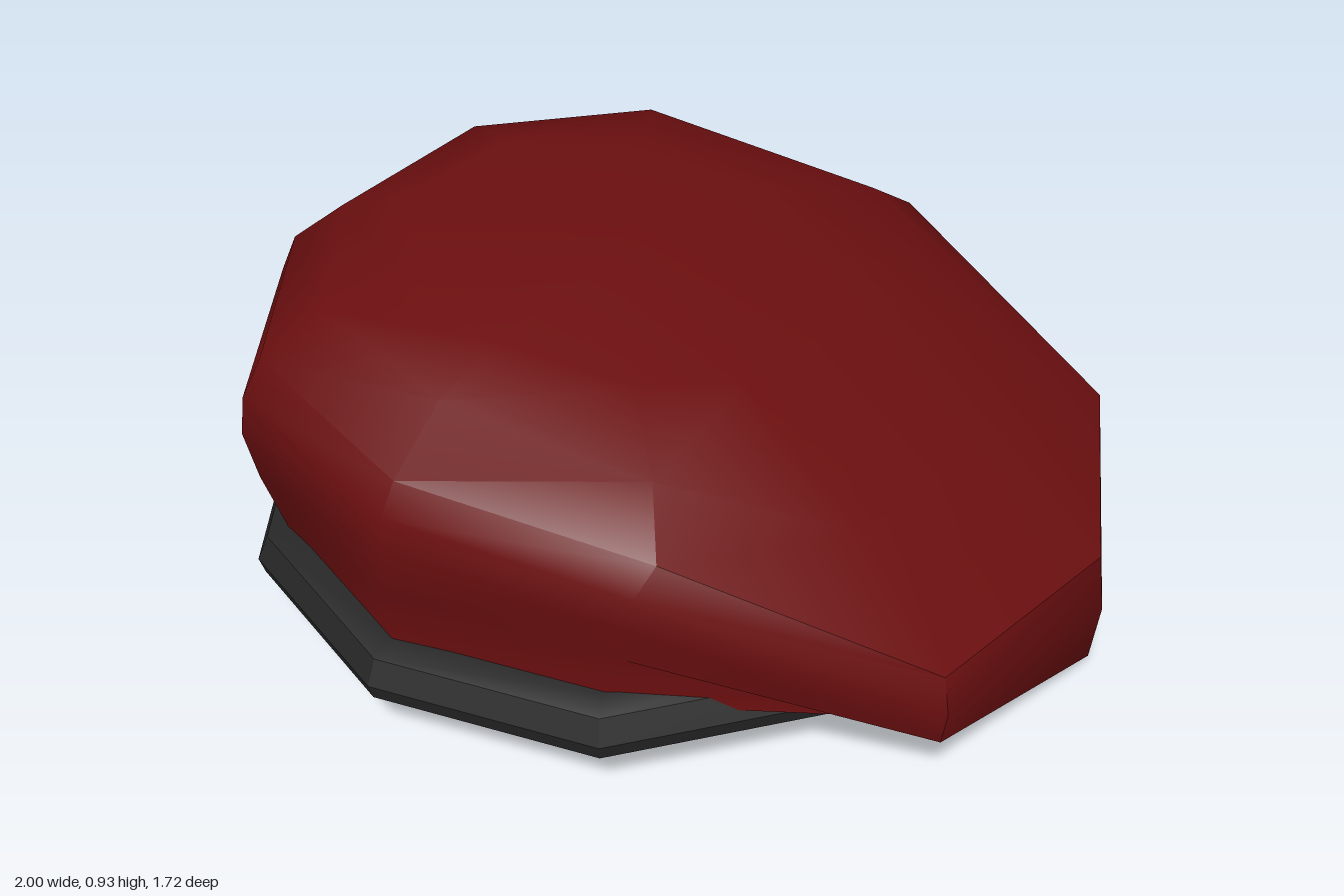
import * as THREE from 'three';
import { toCreasedNormals } from 'three/addons/utils/BufferGeometryUtils.js';

const mat = (name, color) => {
  const m = new THREE.MeshStandardMaterial({ color });
  m.name = name;
  return m;
};

// Skin a stack of rings (bottom to top); single-point rings close the ends
function loft(rings, crease) {
  const n = 10, pos = [];
  const at = (k, i) => rings[k][i % rings[k].length];
  for (let k = 0; k < rings.length - 1; k++) {
    for (let i = 0; i < n; i++) {
      const a = at(k, i), b = at(k, i + 1), c = at(k + 1, i + 1), d = at(k + 1, i);
      if (a !== b) pos.push(...b, ...a, ...d);
      if (c !== d) pos.push(...b, ...d, ...c);
    }
  }
  const g = new THREE.BufferGeometry();
  g.setAttribute('position', new THREE.Float32BufferAttribute(pos, 3));
  return toCreasedNormals(g, crease);
}

// Ten-sided head opening, [x, z], starting at the right side and going round the back
const CX = -0.145, CZ = 0.018;
const opening = [
  [-1, -0.07], [-0.78, -0.56], [-0.33, -0.82], [0.2, -0.76], [0.59, -0.42],
  [0.71, 0.11], [0.49, 0.6], [0.04, 0.86], [-0.49, 0.8], [-0.88, 0.46],
];
const openingRing = (s, y) => opening.map(([x, z]) => [CX + (x - CX) * s, y, CZ + (z - CZ) * s]);

// Crown rings, each following the same ten columns as the opening
const underside = [
  [-0.965, 0.43, -0.06], [-0.76, 0.43, -0.53], [-0.28, 0.38, -0.78], [0.33, 0.35, -0.77], [0.78, 0.1, -0.4],
  [0.85, 0, 0.12], [0.66, 0.2, 0.6], [0.05, 0.38, 0.77], [-0.46, 0.42, 0.74], [-0.86, 0.43, 0.44],
];
const rimLow = [
  [-0.985, 0.56, -0.05], [-0.78, 0.56, -0.53], [-0.22, 0.5, -0.81], [0.37, 0.43, -0.86], [0.88, 0.09, -0.41],
  [0.98, 0.03, 0.12], [0.72, 0.19, 0.65], [0.07, 0.54, 0.85], [-0.45, 0.56, 0.76], [-0.88, 0.56, 0.46],
];
const rimHigh = [
  [-0.94, 0.75, -0.05], [-0.74, 0.75, -0.5], [-0.22, 0.71, -0.79], [0.37, 0.58, -0.83], [0.91, 0.35, -0.45],
  [0.98, 0.32, 0.12], [0.72, 0.38, 0.66], [0.15, 0.67, 0.8], [-0.42, 0.72, 0.73], [-0.83, 0.75, 0.43],
];
const shoulder = [
  [-0.81, 0.86, -0.04], [-0.63, 0.865, -0.45], [-0.25, 0.85, -0.66], [0.3, 0.7, -0.68], [0.62, 0.56, -0.33],
  [0.67, 0.53, 0.09], [0.5, 0.57, 0.47], [0.1, 0.75, 0.64], [-0.36, 0.84, 0.6], [-0.7, 0.855, 0.37],
];
const top = [
  [-0.63, 0.925, -0.03], [-0.5, 0.92, -0.33], [-0.24, 0.905, -0.43], [0.1, 0.825, -0.42], [0.29, 0.76, -0.22],
  [0.31, 0.75, 0.06], [0.2, 0.77, 0.29], [0, 0.815, 0.42], [-0.3, 0.875, 0.42], [-0.54, 0.9, 0.28],
];
// Slightly bulged ring halfway up the rim
const rimMid = rimLow.map((p, i) => p.map((v, k) => ((v + rimHigh[i][k]) / 2) * (k === 1 ? 1 : 1.018)));

// Wavy badge outline
function badgeShape(s) {
  const pts = [
    [0.19, -0.1], [0.15, 0], [0.17, 0.09], [0.12, 0.17], [0, 0.15], [-0.07, 0.12],
    [-0.18, 0.08], [-0.15, -0.02], [-0.12, -0.11], [-0.04, -0.18], [0.1, -0.13],
  ].map(([x, y]) => new THREE.Vector2(x * s, y * s));
  const shape = new THREE.Shape();
  shape.setFromPoints(new THREE.SplineCurve([...pts, pts[0]]).getPoints(33).slice(0, -1));
  return shape;
}

export function createModel() {
  const red = mat('deep red felt', 0x6c0f10);
  const black = mat('black leather', 0x272727);
  const silver = mat('dull silver', 0x928c8c);
  const model = new THREE.Group();
  const add = (parent, name, geo, material) => {
    const mesh = new THREE.Mesh(geo, material);
    mesh.name = name;
    parent.add(mesh);
    return mesh;
  };

  // Headband with a closed, shallow conical bottom
  add(model, 'headband', loft([
    [[CX, 0.125, CZ]], openingRing(0.985, 0.165), openingRing(1, 0.205),
    openingRing(0.97, 0.265), openingRing(0.91, 0.285), openingRing(0.82, 0.285),
  ], 0.5), black);

  // Soft crown, puffed on one side and draped down over the other
  add(model, 'crown', loft([
    openingRing(0.9, 0.25), underside, rimLow, rimMid, rimHigh, shoulder, top, [[-0.13, 0.875, 0]],
  ], 0.8), red);

  // Badge on the back of the puffed side
  const badge = new THREE.Group();
  badge.name = 'badge';
  badge.position.set(-0.535, 0.53, -0.665);
  badge.rotation.y = Math.atan2(-0.45, -0.89);
  const plate = (s, depth) => new THREE.ExtrudeGeometry(badgeShape(s), { depth, bevelEnabled: false });
  add(badge, 'badgeBacking', plate(1.08, 0.035), black);
  add(badge, 'badgePlate', plate(0.96, 0.009), silver).position.z = 0.035;
  const centre = add(badge, 'badgeCentre', new THREE.CylinderGeometry(0.075, 0.075, 0.006, 9), red);
  centre.rotation.x = Math.PI / 2;
  centre.position.z = 0.046;
  model.add(badge);
  return model;
}
